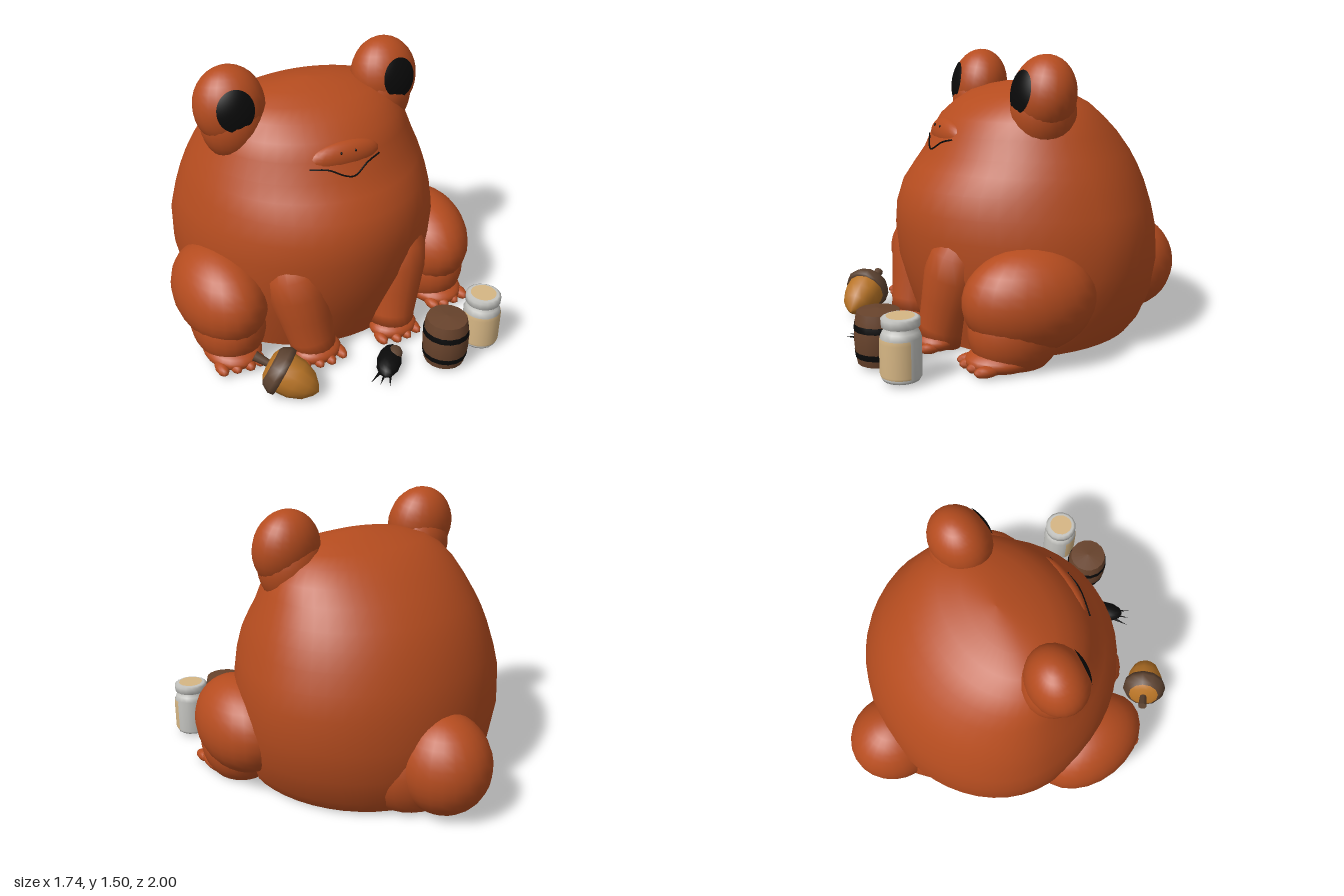
import * as THREE from 'three';

const mat = (name, color, side = THREE.FrontSide) => {
  const m = new THREE.MeshStandardMaterial({ color, side });
  m.name = name;
  return m;
};

// Body sections: y, half width, front z, back z, z of the widest point
const RINGS = [
  [0.02, 0.001, 0.001, -0.001, 0],
  [0.02, 0.61, 0.5, -0.66, 0.02],
  [0.02, 0.61, 0.5, -0.66, 0.02],
  [0.1, 0.655, 0.53, -0.71, -0.05],
  [0.25, 0.705, 0.58, -0.755, -0.11],
  [0.42, 0.735, 0.63, -0.77, -0.15],
  [0.6, 0.735, 0.648, -0.755, -0.16],
  [0.72, 0.71, 0.64, -0.73, -0.15],
  [0.83, 0.68, 0.605, -0.695, -0.14],
  [0.92, 0.65, 0.54, -0.655, -0.13],
  [1.0, 0.615, 0.48, -0.61, -0.12],
  [1.1, 0.57, 0.435, -0.535, -0.1],
  [1.18, 0.53, 0.385, -0.455, -0.08],
  [1.25, 0.47, 0.3, -0.375, -0.06],
  [1.3, 0.39, 0.215, -0.28, -0.05],
  [1.335, 0.26, 0.11, -0.17, -0.04],
  [1.355, 0.12, 0.03, -0.1, -0.03],
  [1.36, 0.001, -0.029, -0.031, -0.03],
];

function bodyGeometry(n = 48) {
  const pos = [], idx = [];
  RINGS.forEach(([y, w, f, b, c], i) => {
    for (let j = 0; j < n; j++) {
      const a = (j / n) * Math.PI * 2, k = Math.cos(a);
      pos.push(w * Math.sin(a), y, c + (k > 0 ? f - c : c - b) * k);
      if (i === RINGS.length - 1 || i === 1) continue; // keep the base edge sharp
      const p = i * n + j, q = i * n + (j + 1) % n;
      idx.push(p, q, q + n, p, q + n, p + n);
    }
  });
  const g = new THREE.BufferGeometry();
  g.setAttribute('position', new THREE.Float32BufferAttribute(pos, 3));
  g.setIndex(idx);
  g.computeVertexNormals();
  return g;
}

// Depth of the face surface at x, y
function frontZ(x, y) {
  const i = RINGS.findIndex((r, k) => k > 2 && r[0] >= y);
  const A = RINGS[i - 1], B = RINGS[i], t = (y - A[0]) / (B[0] - A[0]);
  const [, w, f, , c] = A.map((v, k) => v + (B[k] - v) * t);
  return c + (f - c) * Math.sqrt(1 - (x / w) ** 2);
}

const lathe = (pts, seg = 20, start = 0, len = Math.PI * 2) =>
  new THREE.LatheGeometry(pts.map(([r, y]) => new THREE.Vector2(r, y)), seg, start, len);

export function createModel() {
  const root = new THREE.Group();
  root.name = 'frogWithTreats';
  const skin = mat('rust skin', 0xb54c1f);
  const black = mat('black', 0x0a0a0a);
  const nutMat = mat('amber nut', 0xb87426);
  const bark = mat('acorn cap brown', 0x5c4230);
  const wood = mat('barrel wood', 0x68432c);
  const glass = mat('pale glass', 0xc4c4c0, THREE.DoubleSide);
  const cream = mat('cream filling', 0xd6b684, THREE.DoubleSide);

  const add = (parent, name, geo, m, x = 0, y = 0, z = 0) => {
    const mesh = new THREE.Mesh(geo, m);
    mesh.name = name;
    mesh.position.set(x, y, z);
    parent.add(mesh);
    return mesh;
  };
  // Ellipsoid, flattened where it meets the floor
  const blob = (parent, name, m, p, r, seg = 24) => {
    const geo = new THREE.SphereGeometry(1, seg, Math.ceil(seg * 0.7)).scale(...r);
    const floor = 0.02 - parent.position.y - p[1], v = geo.attributes.position;
    for (let i = 0; i < v.count; i++) v.setY(i, Math.max(v.getY(i), floor));
    return add(parent, name, geo, m, ...p);
  };

  // Frog body and tail
  const frog = new THREE.Group();
  frog.name = 'frog';
  root.add(frog);
  add(frog, 'body', bodyGeometry(), skin);
  blob(frog, 'tail', skin, [0, 0.28, -0.735], [0.245, 0.272, 0.265]);
  blob(frog, 'tailRoot', skin, [0, 0.23, -0.58], [0.34, 0.3, 0.23]);

  // Lip, mouth line and nostrils
  blob(frog, 'lip', skin, [0, 1.09, 0.38], [0.2, 0.085, 0.066]);
  const line = [[-0.21, 1.07], [-0.12, 1.062], [-0.04, 1.025], [0.01, 1.015], [0.1, 1.06], [0.18, 1.08]]
    .map(([x, y]) => new THREE.Vector3(x, y, frontZ(x, y) + 0.003));
  add(frog, 'mouth', new THREE.TubeGeometry(new THREE.CatmullRomCurve3(line), 30, 0.0045, 6), black);
  for (const x of [-0.045, 0.035]) {
    blob(frog, 'nostril', black, [x, 1.135, 0.436], [0.005, 0.008, 0.006], 8);
  }

  const legProfile = [[0.001, 0], [0.12, 0], [0.125, 0.08], [0.145, 0.22], [0.165, 0.36], [0.16, 0.48], [0.1, 0.6], [0.001, 0.66]];
  for (const s of [-1, 1]) {
    // Raised eyes, turned slightly up and outwards
    const ex = s < 0 ? -0.465 : 0.425;
    const eyeR = [0.185, 0.205, 0.158];
    const eye = new THREE.Group();
    eye.name = 'eye';
    eye.position.set(ex, 1.312, 0.02);
    eye.rotation.set(-0.17, s * 0.12, 0);
    frog.add(eye);
    blob(eye, 'eyeBulge', skin, [0, 0, 0], eyeR);
    const cap = new THREE.SphereGeometry(1.025, 28, 8, 0, Math.PI * 2, 0, 0.54);
    add(eye, 'pupil', cap.rotateX(Math.PI / 2).scale(...eyeR), black);
    blob(frog, 'eyeBase', skin, [ex - s * 0.02, 1.22, 0.015], [0.172, 0.21, 0.17]);

    // Haunches and hind feet
    const haunch = blob(frog, 'haunch', skin, [s * 0.635, 0.335, 0.19], [0.235, 0.262, 0.34]);
    haunch.rotation.y = -s * 0.1;
    blob(frog, 'shin', skin, [s * 0.62, 0.19, 0.26], [0.2, 0.23, 0.24]);
    blob(frog, 'hindFoot', skin, [s * 0.63, 0.06, 0.33], [0.155, 0.07, 0.19]);
    for (const x of [0.54, 0.6, 0.67, 0.74]) {
      blob(frog, 'hindToe', skin, [s * x, 0.045, 0.48 - Math.abs(x - 0.6) * 0.15], [0.034, 0.03, 0.065], 10);
    }

    // Front legs and feet
    const leg = add(frog, 'frontLeg', lathe(legProfile), skin, s * 0.235, 0.048, 0.525);
    leg.rotation.set(-0.22, 0, -s * 0.15);
    blob(frog, 'frontFoot', skin, [s * 0.235, 0.06, 0.55], [0.135, 0.06, 0.11]);
    for (const x of [0.125, 0.2, 0.265, 0.335]) {
      blob(frog, 'frontToe', skin, [s * x, 0.045, 0.635 - Math.abs(x - 0.22) * 0.25], [0.03, 0.028, 0.06], 10);
    }
  }

  // Acorn, lying on its side, with a bare crown around the stem
  const acorn = new THREE.Group();
  acorn.name = 'acorn';
  acorn.position.set(-0.51, 0.138, 0.715);
  acorn.quaternion.setFromUnitVectors(new THREE.Vector3(0, 1, 0), new THREE.Vector3(-0.66, 0.4, -0.62).normalize());
  root.add(acorn);
  add(acorn, 'nut', lathe([[0.001, -0.21], [0.03, -0.195], [0.075, -0.15], [0.103, -0.08], [0.108, 0], [0.1, 0.03]], 12), nutMat);
  add(acorn, 'cap', lathe([[0.1, -0.015], [0.124, -0.015], [0.128, 0.015], [0.105, 0.055], [0.088, 0.066]], 12), bark);
  add(acorn, 'crown', lathe([[0.088, 0.066], [0.06, 0.08], [0.001, 0.085]], 12), nutMat);
  add(acorn, 'stem', new THREE.CylinderGeometry(0.026, 0.018, 0.1, 8), bark, 0, 0.11, 0);

  // Dark seed with stray bristles
  const seed = new THREE.Group();
  seed.name = 'seed';
  seed.position.set(0.06, 0.06, 0.81);
  seed.rotation.y = 0.87;
  root.add(seed);
  blob(seed, 'seedHull', black, [0, 0, 0], [0.125, 0.045, 0.065], 12);
  blob(seed, 'seedPatch', bark, [0.045, 0.014, 0.02], [0.06, 0.034, 0.042], 10);
  blob(seed, 'seedUnderside', bark, [0, -0.012, 0], [0.09, 0.037, 0.05], 10);
  for (const [z, a] of [[-0.045, -0.35], [-0.01, -0.1], [0.025, 0.15]]) {
    const b = add(seed, 'bristle', new THREE.ConeGeometry(0.012, 0.12, 5).rotateZ(Math.PI / 2), black, -0.11, -0.02, z);
    b.rotation.y = a;
  }

  // Barrel with two hoops
  const barrel = new THREE.Group();
  barrel.name = 'barrel';
  barrel.position.set(0.358, 0.03, 0.875);
  root.add(barrel);
  const rAt = (y) => 0.122 - 0.95 * (y - 0.13) ** 2;
  const staves = Array.from({ length: 9 }, (_, i) => [rAt(i * 0.0325), i * 0.0325]);
  add(barrel, 'staves', lathe(staves, 16), wood);
  add(barrel, 'lid', lathe([[rAt(0.26), 0.26], [0.001, 0.272]], 16), wood);
  add(barrel, 'bottom', lathe([[0.001, 0], [rAt(0), 0]], 16), wood);
  for (const y of [0.035, 0.172]) {
    add(barrel, 'hoop', lathe([[rAt(y), y], [rAt(y) + 0.002, y], [rAt(y + 0.03) + 0.002, y + 0.03], [rAt(y + 0.03), y + 0.03]], 16), black);
  }

  // Glass jar with a cream filling showing at the front and through the top
  const jar = new THREE.Group();
  jar.name = 'jar';
  jar.position.set(0.61, 0.03, 0.835);
  root.add(jar);
  add(jar, 'jarGlass', lathe([[0.001, 0], [0.09, 0], [0.098, 0.015], [0.098, 0.208], [0.087, 0.233], [0.075, 0.245], [0.075, 0.258]], 16), glass);
  add(jar, 'jarLid', lathe([[0.075, 0.255], [0.092, 0.258], [0.094, 0.295], [0.08, 0.303], [0.001, 0.303]], 16), glass);
  add(jar, 'jarTop', new THREE.CircleGeometry(0.068, 16).rotateX(-Math.PI / 2), cream, 0, 0.306, 0);
  add(jar, 'filling', lathe([[0.099, 0.02], [0.102, 0.03], [0.102, 0.185], [0.099, 0.205]], 14, -1.75, 3.5), cream);
  return root;
}
